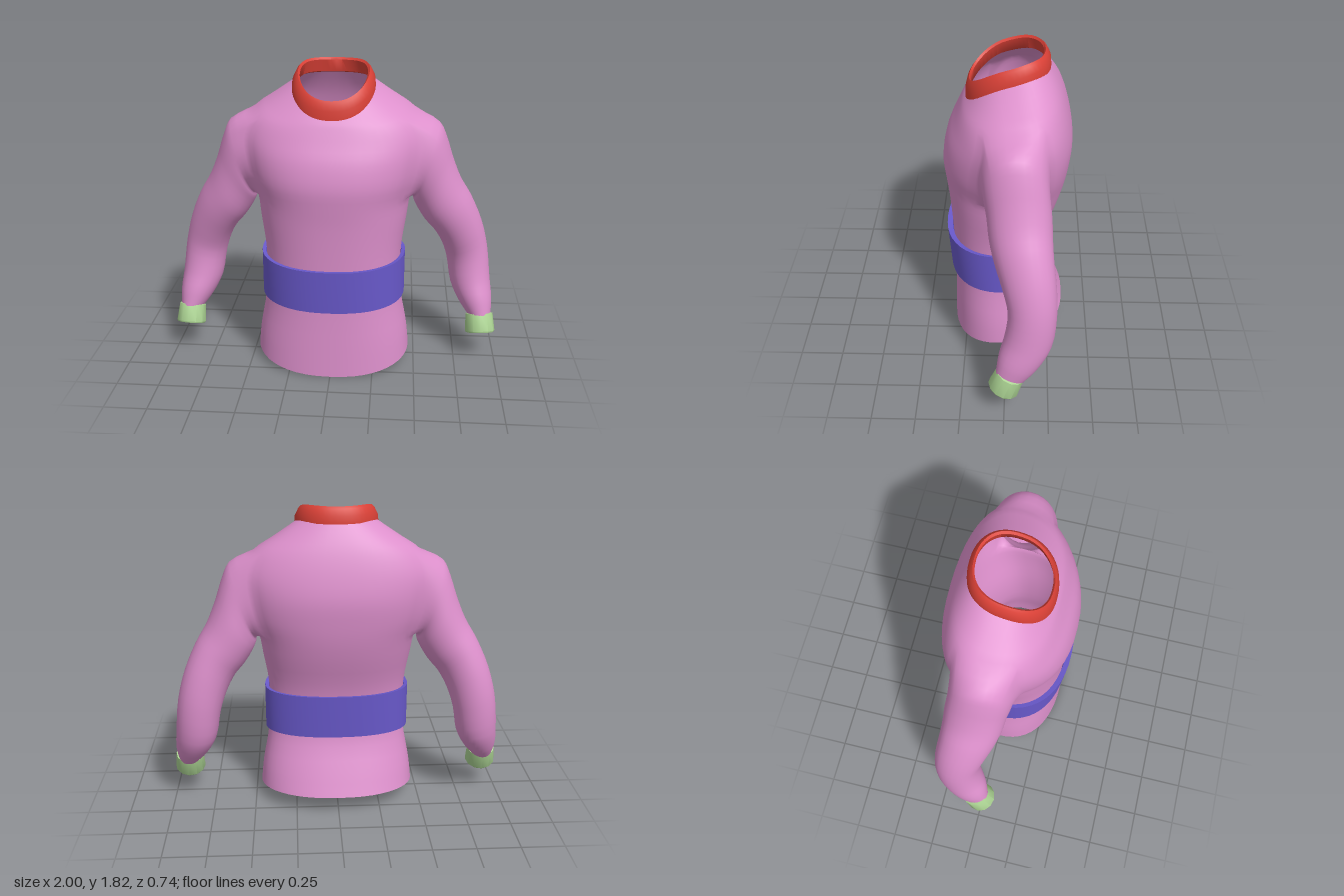
import * as THREE from 'three';
import { toCreasedNormals } from 'three/addons/utils/BufferGeometryUtils.js';

const N = 48;   // columns around the torso
const SUB = 3;  // subdivisions between profile rows
const K = 4;    // half width of an armhole, in columns

// Horizontal sections: [yFront, ySide, yBack, halfWidth, zFront, zSide, zBack]
const TORSO = [
  [0.01, 0.09, 0.12, 0.465, 0.33, 0.0, -0.345],
  [0.20, 0.23, 0.25, 0.45, 0.325, 0.0, -0.295],
  [0.45, 0.46, 0.48, 0.41, 0.32, 0.0, -0.215],
  [0.72, 0.73, 0.74, 0.405, 0.33, 0.0, -0.24],
  [0.95, 0.95, 0.95, 0.435, 0.345, -0.03, -0.305],
  [1.08, 1.08, 1.08, 0.455, 0.36, -0.06, -0.34],
  [1.20, 1.20, 1.20, 0.50, 0.37, -0.08, -0.36],
  [1.33, 1.33, 1.33, 0.53, 0.345, -0.08, -0.37],
  [1.43, 1.45, 1.46, 0.535, 0.30, -0.08, -0.35],
  [1.50, 1.56, 1.58, 0.475, 0.268, -0.06, -0.315],
  [1.54, 1.635, 1.67, 0.36, 0.248, -0.03, -0.275],
  [1.575, 1.715, 1.755, 0.23, 0.222, 0.0, -0.225],
];

// Sleeve rings: [outerX, outerY, innerX, innerY, zFront, zBack, frontLift]
const SLEEVE = [
  [0.61, 1.495, 0.468, 1.045, 0.125, -0.235, 0],
  [0.655, 1.405, 0.472, 1.02, 0.115, -0.24, 0],
  [0.695, 1.285, 0.49, 0.98, 0.10, -0.25, 0],
  [0.75, 1.15, 0.54, 0.90, 0.085, -0.255, -0.01],
  [0.82, 1.03, 0.60, 0.83, 0.055, -0.262, -0.02],
  [0.89, 0.87, 0.65, 0.74, 0.012, -0.278, -0.02],
  [0.935, 0.70, 0.69, 0.62, -0.018, -0.286, 0],
  [0.96, 0.50, 0.72, 0.46, 0.0, -0.262, 0.03],
  [0.975, 0.37, 0.77, 0.36, 0.03, -0.19, 0.04],
  [0.97, 0.275, 0.83, 0.28, 0.045, -0.115, 0.03],
];

const spow = (v, e) => Math.sign(v) * Math.abs(v) ** e;

// Point on a rounded section at column i
function sectionPoint([yF, yS, yB, w, zF, zS, zB], i) {
  const a = (i / N) * Math.PI * 2, s = Math.sin(a), q = spow(s, 0.87);
  const y = (yF + yB) / 2 + (s * (yF - yB)) / 2 + (yS - (yF + yB) / 2) * (1 - s * s);
  return new THREE.Vector3(w * spow(Math.cos(a), 0.87), y, zS + q * (q > 0 ? zF - zS : zS - zB));
}

// Catmull-Rom interpolation between the rows of a table
function sampleRows(rows, t) {
  const i = Math.min(Math.floor(t), rows.length - 2), f = t - i;
  const at = (k) => rows[THREE.MathUtils.clamp(k, 0, rows.length - 1)];
  return rows[i].map((p1, c) => {
    const p0 = at(i - 1)[c], p2 = at(i + 1)[c], p3 = at(i + 2)[c];
    return p1 + 0.5 * f * (p2 - p0 + f * (2 * p0 - 5 * p1 + 4 * p2 - p3 + f * (3 * (p1 - p2) + p3 - p0)));
  });
}

function toGeometry(points, index) {
  const g = new THREE.BufferGeometry().setFromPoints(points);
  g.setIndex(index);
  g.computeVertexNormals();
  return g;
}

// Torso with two armholes, and sleeves growing out of them
function sweaterGeometry() {
  const pts = [], index = [];
  const quad = (a, b, c, d) => index.push(a, b, c, a, c, d);
  const rows = (TORSO.length - 1) * SUB, J0 = 5 * SUB, J1 = 9 * SUB;
  const id = (j, i) => j * N + ((i + N) % N);

  for (let j = 0; j <= rows; j++) {
    const sec = sampleRows(TORSO, j / SUB);
    for (let i = 0; i < N; i++) pts.push(sectionPoint(sec, i));
  }
  for (let j = 0; j < rows; j++) for (let i = 0; i < N; i++) {
    const k = (i + K) % (N / 2);
    if (j >= J0 && j < J1 && k < 2 * K) continue;
    quad(id(j, i), id(j + 1, i), id(j + 1, i + 1), id(j, i + 1));
  }

  // Armhole border as [column, row], walked once round
  const border = [];
  for (let k = -K; k < K; k++) border.push([k, J1]);
  for (let j = J1; j > J0; j--) border.push([K, j]);
  for (let k = K; k > -K; k--) border.push([k, J0]);
  for (let j = J0; j < J1; j++) border.push([-K, j]);

  const M = border.length, steps = SLEEVE.length * SUB;
  for (const side of [1, -1]) {
    const start = pts.length;
    const first = border.map(([k, j]) => id(j, side > 0 ? k : N / 2 - k));
    const curves = border.map(([k, j], m) => {
      const a = Math.atan2(((j - J0) / (J1 - J0)) * 2 - 1, k / K);
      const u = Math.cos(a), v = Math.sin(a);
      const path = SLEEVE.map(([ox, oy, ix, iy, zF, zB, lift]) => new THREE.Vector3(
        side * ((ox + ix) / 2 + (v * (ox - ix)) / 2),
        (oy + iy) / 2 + (v * (oy - iy)) / 2 + u * lift,
        (zF + zB) / 2 + (u * (zF - zB)) / 2));
      return new THREE.CatmullRomCurve3([pts[first[m]].clone(), ...path]);
    });
    for (let s = 1; s <= steps; s++) for (const c of curves) pts.push(c.getPoint(s / steps));
    const sid = (s, m) => (s === 0 ? first[m % M] : start + (s - 1) * M + (m % M));
    for (let s = 0; s < steps; s++) for (let m = 0; m < M; m++) {
      const q = [sid(s, m), sid(s, m + 1), sid(s + 1, m + 1), sid(s + 1, m)];
      quad(...(side > 0 ? q : q.reverse()));
    }
  }
  return toGeometry(pts, index);
}

// Closed band: sections go up the outside and down the inside
function bandGeometry(sections) {
  const pts = [], index = [], R = sections.length;
  for (const sec of sections) for (let i = 0; i < N; i++) pts.push(sectionPoint(sec, i));
  const id = (j, i) => (j % R) * N + (i % N);
  for (let j = 0; j < R; j++) for (let i = 0; i < N; i++) {
    const a = id(j, i), c = id(j + 1, i + 1);
    index.push(a, id(j + 1, i), c, a, c, id(j, i + 1));
  }
  return toCreasedNormals(toGeometry(pts, index), 0.9);
}

export function createModel() {
  const group = new THREE.Group();
  const add = (name, geometry, color) => {
    const material = new THREE.MeshStandardMaterial({ color, side: THREE.DoubleSide });
    const mesh = new THREE.Mesh(geometry, material);
    mesh.name = name;
    group.add(mesh);
    return mesh;
  };

  add('sweaterBody', sweaterGeometry(), 0xdd90cc);

  add('collar', bandGeometry([
    [1.56, 1.70, 1.74, 0.238, 0.235, 0, -0.238],
    [1.61, 1.745, 1.785, 0.235, 0.232, 0, -0.235],
    [1.65, 1.785, 1.82, 0.215, 0.222, 0, -0.218],
    [1.665, 1.797, 1.832, 0.203, 0.212, 0, -0.206],
    [1.655, 1.785, 1.82, 0.192, 0.202, 0, -0.196],
    [1.58, 1.715, 1.75, 0.21, 0.208, 0, -0.21],
  ]), 0xd94036);

  add('waistBand', bandGeometry([
    [0.44, 0.46, 0.47, 0.43, 0.345, 0, -0.245],
    [0.705, 0.725, 0.735, 0.43, 0.365, 0, -0.268],
    [0.70, 0.72, 0.73, 0.408, 0.333, 0, -0.242],
    [0.45, 0.47, 0.48, 0.412, 0.322, 0, -0.217],
  ]), 0x6a5acd);

  // Hollow cuffs at the sleeve ends
  const profile = [[0.06, -0.04], [0.065, -0.098], [0.085, -0.104], [0.091, -0.095], [0.083, 0.012], [0.07, 0.016], [0.06, -0.04]]
    .map(([r, y]) => new THREE.Vector2(r, y));
  const cuff = toCreasedNormals(new THREE.LatheGeometry(profile, 12), 0.7);
  for (const side of [1, -1]) {
    const mesh = add(side > 0 ? 'leftCuff' : 'rightCuff', cuff, 0xaed695);
    mesh.position.set(side * 0.902, 0.275, -0.032);
    mesh.quaternion.setFromUnitVectors(new THREE.Vector3(0, 1, 0), new THREE.Vector3(-side * 0.06, 1, -0.4).normalize());
  }
  return group;
}
